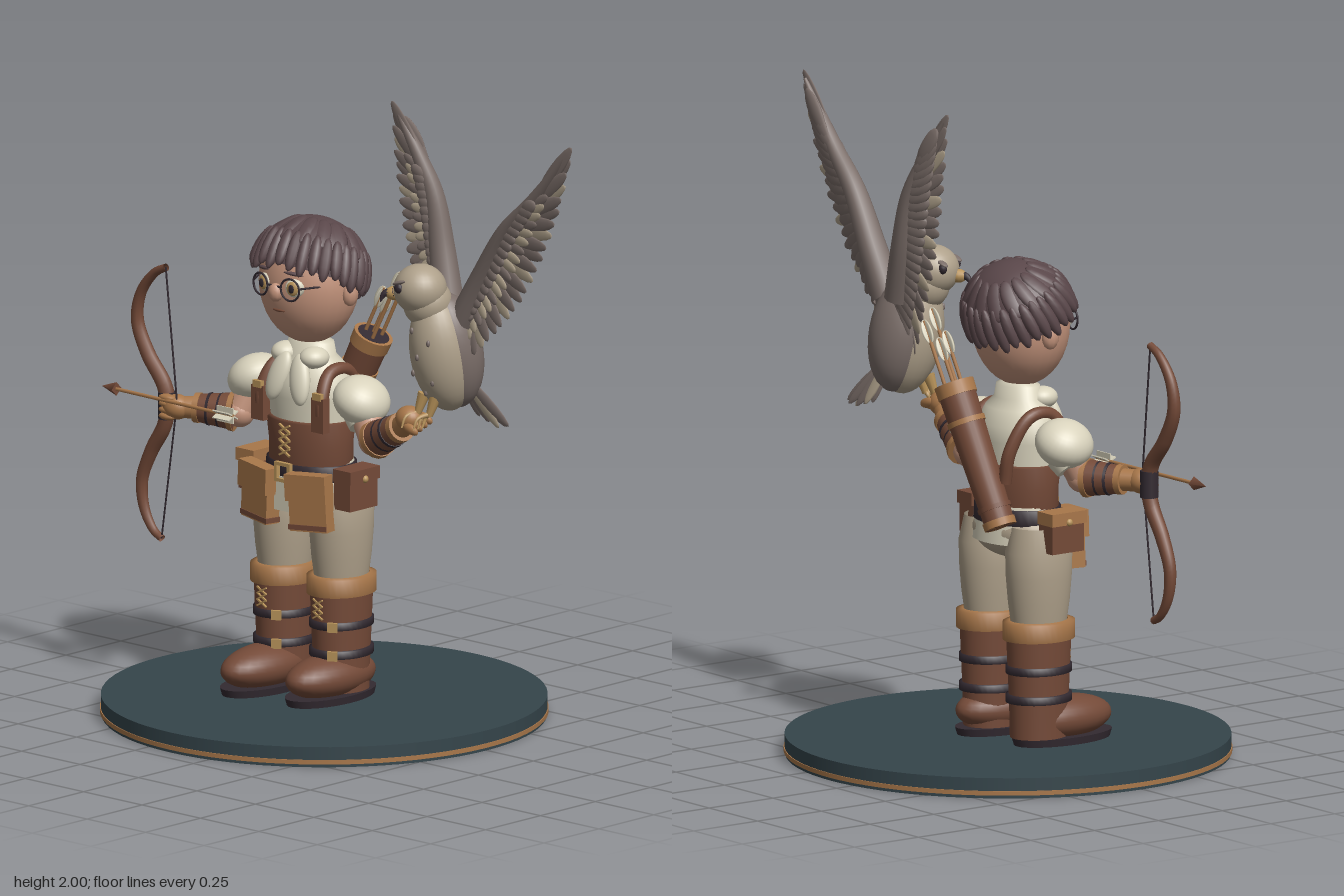
import * as THREE from 'three';

const V = (a) => new THREE.Vector3(...a);
const mat = (name, color) => Object.assign(new THREE.MeshStandardMaterial({ color, side: THREE.DoubleSide }), { name });

export function createModel() {
  const M = {
    cream: mat('cream linen', 0xd8d2bc), taupe: mat('pale taupe', 0xaea08a), skin: mat('skin', 0xc4947c),
    hair: mat('dark hair', 0x5a474a), leather: mat('brown leather', 0x744a38), tan: mat('tan leather', 0xa8774a),
    dark: mat('dark strap', 0x332a31), slate: mat('slate base', 0x35454b), plume: mat('grey plumage', 0x7b6e69),
    gold: mat('brass', 0xb8935a),
  };
  const root = new THREE.Group();
  let g = root;
  const part = (name) => { g = new THREE.Group(); g.name = name; root.add(g); };
  const add = (name, geo, m, p = [0, 0, 0], rot = [0, 0, 0], s = [1, 1, 1]) => {
    const o = new THREE.Mesh(geo, m);
    o.name = name; o.position.set(...p); o.rotation.set(...rot); o.scale.set(...s);
    g.add(o);
    return o;
  };
  const unit = new THREE.SphereGeometry(1, 28, 18), small = new THREE.SphereGeometry(1, 10, 8);
  const ball = (name, m, p, s, rot) => add(name, Math.max(...s) > 0.04 ? unit : small, m, p, rot, s);
  const box = (name, m, p, s, rot) => add(name, new THREE.BoxGeometry(...s), m, p, rot);
  // tapered rod between two points
  const rod = (name, m, a, b, r1, r2 = r1, n = 16) => {
    const A = V(a), d = V(b).sub(A);
    const o = add(name, new THREE.CylinderGeometry(r2, r1, d.length(), n), m);
    o.position.copy(A).addScaledVector(d, 0.5);
    o.quaternion.setFromUnitVectors(V([0, 1, 0]), d.normalize());
    return o;
  };
  // flat leaf shape from a to b, facing the given normal
  const leaf = (name, m, a, b, w, t, normal = [0, 0, 1]) => {
    const d = b.clone().sub(a), len = d.length();
    const y = d.normalize(), x = y.clone().cross(V(normal)).normalize(), z = x.clone().cross(y);
    const o = add(name, small, m, [0, 0, 0], [0, 0, 0], [w, len / 2, t]);
    o.position.copy(a).addScaledVector(y, len / 2);
    o.quaternion.setFromRotationMatrix(new THREE.Matrix4().makeBasis(x, y, z));
    return o;
  };
  // tube whose radius follows f(t)
  const tube = (name, m, pts, f, seg = 40, rad = 10) => {
    const c = new THREE.CatmullRomCurve3(pts.map(V)), geo = new THREE.TubeGeometry(c, seg, 1, rad);
    const P = geo.attributes.position, v = new THREE.Vector3();
    for (let i = 0; i < P.count; i++) {
      const t = Math.floor(i / (rad + 1)) / seg, o = c.getPointAt(t);
      v.fromBufferAttribute(P, i).sub(o).multiplyScalar(f(t)).add(o);
      P.setXYZ(i, v.x, v.y, v.z);
    }
    return add(name, geo, m);
  };
  const lathe = (name, m, prof, p, sz = 1) =>
    add(name, new THREE.LatheGeometry(prof.map((q) => new THREE.Vector2(...q)), 36), m, p, [0, 0, 0], [1, 1, sz]);
  const X = -0.21; // body centre line

  part('base');
  add('baseFoot', new THREE.CylinderGeometry(0.695, 0.695, 0.012, 80), M.slate, [-0.145, 0.006, 0]);
  add('baseTrim', new THREE.CylinderGeometry(0.7, 0.7, 0.014, 80), M.tan, [-0.145, 0.017, 0]);
  add('baseTop', new THREE.CylinderGeometry(0.697, 0.697, 0.043, 80), M.slate, [-0.145, 0.0435, 0]);

  for (const s of [-1, 1]) {
    part(s < 0 ? 'rightLeg' : 'leftLeg');
    const x = X + s * 0.12, zf = 0.05 - s * 0.02;
    add('sole', new THREE.CylinderGeometry(0.094, 0.09, 0.024, 32), M.dark, [x, 0.077, zf], [0, 0, 0], [1, 1, 1.95]);
    ball('bootFoot', M.leather, [x, 0.14, zf], [0.092, 0.07, 0.182]);
    lathe('bootShaft', M.leather, [[0.08, 0.09], [0.082, 0.2], [0.086, 0.3], [0.09, 0.41]], [x, 0, -0.02], 1.2);
    lathe('bootCuff', M.tan, [[0.088, 0.4], [0.1, 0.402], [0.1, 0.458], [0.08, 0.462]], [x, 0, -0.02], 1.2);
    for (const y of [0.215, 0.307]) {
      lathe('bootStrap', M.dark, [[0.08, y - 0.014], [0.092, y - 0.012], [0.092, y + 0.012], [0.08, y + 0.014]], [x, 0, -0.02], 1.2);
      box('bootBuckle', M.gold, [x + 0.05, y, 0.075], [0.032, 0.03, 0.012], [0, 0.5, 0]);
    }
    for (let i = 0; i < 3; i++) for (const k of [-1, 1])
      box('bootLace', M.gold, [x, 0.34 + i * 0.02, 0.088], [0.045, 0.005, 0.006], [0, 0, k * 0.5]);
    lathe('trouserLeg', M.taupe, [[0.078, 0.44], [0.088, 0.52], [0.094, 0.6], [0.096, 0.68], [0.08, 0.76]], [x, 0, -0.02], 1.15);
  }

  part('torso');
  ball('hips', M.taupe, [X, 0.73, -0.02], [0.175, 0.09, 0.115]);
  lathe('shirtHem', M.cream, [[0.165, 0.7], [0.158, 0.75], [0.145, 0.82]], [X, 0, -0.015], 0.76);
  box('shirtFlap', M.cream, [X, 0.715, 0.105], [0.085, 0.11, 0.02]);
  lathe('shirt', M.cream, [[0.135, 0.8], [0.14, 0.94], [0.152, 1.02], [0.148, 1.07], [0.12, 1.12], [0.088, 1.15], [0.08, 1.19], [0.05, 1.2]], [X, 0, -0.01], 0.76);
  lathe('corset', M.leather, [[0.135, 0.8], [0.147, 0.805], [0.146, 0.87], [0.155, 0.945], [0.14, 0.95]], [X, 0, -0.01], 0.78);
  lathe('belt', M.dark, [[0.14, 0.76], [0.16, 0.762], [0.157, 0.81], [0.14, 0.812]], [X, 0, -0.012], 0.78);
  for (const k of [-1, 1]) {
    box('buckleSide', M.gold, [X + k * 0.027, 0.786, 0.118], [0.012, 0.062, 0.014]);
    box('buckleBar', M.gold, [X, 0.786 + k * 0.026, 0.118], [0.06, 0.011, 0.014]);
    for (let i = 0; i < 4; i++)
      box('corsetLace', M.gold, [X, 0.85 + i * 0.025, 0.112], [0.05, 0.006, 0.007], [0, 0, k * 0.5]);
    // scarf lobes on the chest
    ball('scarfLobe', M.cream, [X + k * 0.045, 1.085, 0.09], [0.038, 0.082, 0.025], [-0.25, 0, k * 0.25]);
    ball('collarLobe', M.cream, [X + k * 0.06, 1.15, 0.04], [0.045, 0.035, 0.05]);
    // shoulder straps running to the back
    const d = k * 0.128;
    tube('shoulderStrap', M.leather, [[X + d, 0.93, 0.075], [X + d, 1.03, 0.078], [X + d * 0.9, 1.105, 0.03], [X + d * 0.9, 1.105, -0.05], [X + d * 0.75, 1, -0.115], [X + d * 0.6, 0.9, -0.12]], () => 0.021);
    box('strapTab', M.leather, [X + d, 0.985, 0.085], [0.052, 0.11, 0.03]);
    box('strapBuckle', M.gold, [X + d, 1.045, 0.096], [0.036, 0.022, 0.014]);
    // pouches
    box('frontPouch', M.tan, [X + k * 0.108, 0.7, 0.105], [0.135, 0.17, 0.05], [0, k * 0.2, k * 0.06]);
    box('frontPouchFlap', M.tan, [X + k * 0.108, 0.755, 0.117], [0.148, 0.085, 0.05], [0, k * 0.2, k * 0.06]);
    box('frontPouchBand', M.leather, [X + k * 0.11, 0.628, 0.106], [0.14, 0.016, 0.053], [0, k * 0.2, k * 0.06]);
    box('sidePouch', M.leather, [X + k * 0.205, 0.745, 0.005], [0.068, 0.115, 0.125]);
    box('sidePouchFlap', k < 0 ? M.tan : M.leather, [X + k * 0.208, 0.797, 0.005], [0.076, 0.04, 0.135]);
    ball('pouchStud', M.gold, [X + k * 0.245, 0.785, 0.005], [0.01, 0.012, 0.012]);
  }

  part('head');
  const H = [X, 1.38, 0];
  ball('face', M.skin, H, [0.165, 0.195, 0.148]);
  ball('nose', M.skin, [X, 1.37, 0.152], [0.025, 0.03, 0.022]);
  ball('mouth', M.leather, [X, 1.31, 0.137], [0.026, 0.005, 0.006]);
  for (const k of [-1, 1]) {
    const ex = X + k * 0.063;
    ball('ear', M.skin, [X + k * 0.167, 1.365, -0.01], [0.022, 0.04, 0.03]);
    ball('eyeWhite', M.cream, [ex, 1.39, 0.132], [0.033, 0.03, 0.014], [0, k * 0.35, 0]);
    ball('iris', M.gold, [ex, 1.39, 0.142], [0.021, 0.023, 0.008], [0, k * 0.3, 0]);
    ball('pupil', M.dark, [ex, 1.39, 0.149], [0.012, 0.014, 0.004]);
    add('spectacleRing', new THREE.TorusGeometry(0.035, 0.0035, 6, 32), M.dark, [ex, 1.388, 0.154], [0, k * 0.15, 0]);
    rod('spectacleArm', M.dark, [X + k * 0.097, 1.395, 0.148], [X + k * 0.172, 1.4, 0], 0.0035, 0.0035, 6);
    ball('eyebrow', M.hair, [ex, 1.437, 0.138], [0.034, 0.006, 0.008], [0, k * 0.35, -k * 0.1]);
  }
  rod('spectacleBridge', M.dark, [X - 0.028, 1.392, 0.157], [X + 0.028, 1.392, 0.157], 0.0035, 0.0035, 6);

  part('hair');
  const cr = [0.188, 0.165, 0.162], tilt = -0.42;
  add('hairCap', new THREE.SphereGeometry(1, 36, 20, 0, Math.PI * 2, 0, 1.72), M.hair, [X, 1.422, -0.008], [tilt, 0, 0], cr);
  const onCap = (a, th, k) => V([Math.sin(a) * Math.sin(th) * cr[0] * k, Math.cos(th) * cr[1] * k, Math.cos(a) * Math.sin(th) * cr[2] * k])
    .applyEuler(new THREE.Euler(tilt, 0, 0)).add(V([X, 1.422, -0.008]));
  for (let i = 0; i < 30; i++) {
    const a = (i / 30) * Math.PI * 2, j = ((i * 7) % 5) * 0.03;
    const n = [Math.sin(a), 0.3, Math.cos(a)];
    leaf('hairLock', M.hair, onCap(a, 1.0, 1.03), onCap(a + 0.08, 1.76 + j, 1.07), 0.021, 0.02, n);
    if (i % 2) leaf('crownLock', M.hair, onCap(a, 0.45, 1), onCap(a + 0.1, 1.25, 1.02), 0.032, 0.016, [n[0], 1, n[2]]);
  }

  // arm with puffed sleeve, bracer and gloved fist
  const arm = (name, sleeve, elbow, cuff, hand) => {
    part(name);
    const k = Math.sign(sleeve[0] - X);
    ball('puffSleeve', M.cream, sleeve, [0.09, 0.072, 0.095], [0, 0, -k * 0.5]);
    rod('sleeveBand', M.cream, [sleeve[0], sleeve[1] - 0.04, sleeve[2]], [sleeve[0] + k * 0.025, sleeve[1] - 0.075, sleeve[2] + 0.01], 0.06, 0.052);
    rod('upperArm', M.skin, sleeve, elbow, 0.05, 0.046);
    ball('elbow', M.skin, elbow, [0.048, 0.048, 0.048]);
    const A = V(elbow), B = V(cuff), at = (t) => A.clone().lerp(B, t).toArray();
    rod('bracer', M.leather, at(0.1), at(1), 0.06, 0.043);
    rod('bracerTopBand', M.tan, at(0.1), at(0.22), 0.063, 0.061);
    rod('bracerWristBand', M.tan, at(0.9), at(1.03), 0.048, 0.047);
    for (const t of [0.42, 0.66]) rod('bracerStrap', M.dark, at(t), at(t + 0.06), 0.058 - t * 0.008, 0.056 - t * 0.008);
    rod('gloveWrist', M.tan, cuff, hand, 0.036, 0.034);
    ball('glove', M.tan, hand, [0.046, 0.04, 0.042]);
  };
  arm('rightArm', [-0.435, 1.035, 0], [-0.46, 0.925, 0.05], [-0.585, 0.93, 0.115], [-0.635, 0.93, 0.15]);
  for (let i = 0; i < 4; i++) ball('finger', M.tan, [-0.655, 0.9 + i * 0.02, 0.172], [0.034, 0.012, 0.018]);
  arm('leftArm', [0.015, 1.035, 0], [0.085, 0.92, 0.02], [0.235, 0.995, 0.055], [0.285, 1.035, 0.07]);
  for (let i = 0; i < 4; i++) ball('finger', M.tan, [0.318, 1.035 - i * 0.008, 0.035 + i * 0.022], [0.034, 0.016, 0.012], [0, 0, -0.3]);

  part('bow');
  const bz = 0.148;
  tube('bowStave', M.leather, [[-0.682, 1.37, bz], [-0.73, 1.345, bz], [-0.79, 1.27, bz], [-0.805, 1.18, bz], [-0.76, 1.08, bz], [-0.69, 0.99, bz], [-0.675, 0.925, bz],
    [-0.69, 0.86, bz], [-0.745, 0.77, bz], [-0.785, 0.67, bz], [-0.775, 0.58, bz], [-0.735, 0.515, bz], [-0.7, 0.495, bz]], (t) => 0.012 + 0.013 * Math.sin(Math.PI * t), 70);
  rod('bowGrip', M.dark, [-0.678, 0.885, bz], [-0.678, 0.97, bz], 0.029);
  rod('upperString', M.dark, [-0.684, 1.37, bz], [-0.615, 0.95, 0.17], 0.003, 0.003, 6);
  rod('lowerString', M.dark, [-0.615, 0.95, 0.17], [-0.702, 0.495, bz], 0.003, 0.003, 6);

  part('arrow');
  rod('arrowShaft', M.tan, [-0.87, 0.955, 0.185], [-0.36, 0.952, 0.185], 0.006, 0.006, 8);
  rod('arrowHead', M.leather, [-0.86, 0.955, 0.185], [-0.92, 0.955, 0.185], 0.022, 0.001, 4);
  for (let i = 0; i < 3; i++)
    box('fletching', M.cream, [-0.395, 0.952, 0.185], [0.07, 0.05, 0.004], [i * Math.PI / 3, 0, 0]);

  part('quiver');
  const qa = V([-0.305, 0.765, -0.15]), qb = V([-0.105, 1.19, -0.18]);
  const q = (t, dx = 0, dz = 0) => qa.clone().lerp(qb, t).add(V([dx, 0, dz])).toArray();
  rod('quiverBody', M.leather, q(0), q(0.98), 0.048, 0.06, 24);
  for (const [t, w] of [[0, 0.05], [0.12, 0.03], [0.72, 0.035], [0.92, 0.09]])
    rod('quiverBand', t === 0.12 ? M.leather : M.tan, q(t), q(t + w), 0.052 + t * 0.012, 0.053 + t * 0.012, 24);
  rod('quiverMouth', M.dark, q(1), q(1.012), 0.052, 0.052, 24);
  [[-0.03, 0.01, 1.38], [0.012, -0.028, 1.45], [0.02, 0.022, 1.52], [-0.012, -0.01, 1.33]].forEach(([dx, dz, t]) => {
    rod('spareArrow', M.tan, q(0.9, dx, dz), q(t, dx, dz), 0.006, 0.006, 8);
    for (const n of [[0, 0, 1], [1, 0, 0]])
      leaf('spareFletching', M.cream, V(q(t - 0.16, dx, dz)), V(q(t + 0.01, dx, dz)), 0.021, 0.003, n);
  });

  part('hawkBody');
  ball('breast', M.taupe, [0.368, 1.25, 0.005], [0.1, 0.19, 0.108], [0.15, 0, 0.08]);
  ball('back', M.plume, [0.378, 1.255, -0.022], [0.101, 0.188, 0.1], [0.15, 0, 0.08]);
  ball('neck', M.taupe, [0.335, 1.41, 0.04], [0.078, 0.08, 0.078]);
  ball('hawkHead', M.taupe, [0.322, 1.455, 0.06], [0.084, 0.08, 0.084]);
  ball('beakBase', M.gold, [0.258, 1.44, 0.11], [0.03, 0.022, 0.022], [0, 0.6, 0]);
  tube('beak', M.dark, [[0.26, 1.442, 0.11], [0.232, 1.436, 0.128], [0.222, 1.41, 0.135]], (t) => 0.019 * (1 - t) + 0.002, 10);
  for (const p of [[0.305, 1.468, 0.139], [0.246, 1.472, 0.04]]) {
    ball('hawkEye', M.dark, p, [0.017, 0.017, 0.013]);
    ball('hawkBrow', M.plume, [p[0], p[1] + 0.018, p[2]], [0.027, 0.006, 0.012], [0, 0, 0.3]);
  }
  for (const [x, y, z] of [[0.33, 1.33, 0.107], [0.4, 1.3, 0.107], [0.36, 1.25, 0.115], [0.32, 1.19, 0.09], [0.4, 1.17, 0.088], [0.36, 1.13, 0.075]])
    ball('breastSpot', M.plume, [x, y, z], [0.007, 0.011, 0.006]);
  for (const x of [0.315, 0.365]) {
    rod('hawkLeg', M.gold, [x + 0.015, 1.12, 0.05], [x, 1.055, 0.065], 0.02, 0.011, 10);
    for (const dz of [-0.02, 0, 0.02])
      tube('talon', M.gold, [[x, 1.06, 0.065], [x - 0.012, 1.05, 0.085 + dz], [x - 0.016, 1.015, 0.1 + dz]], (t) => 0.009 - 0.006 * t, 8, 6);
  }
  for (let i = 0; i < 7; i++)
    leaf('tailFeather', i % 3 === 1 ? M.taupe : M.plume, V([0.39, 1.17, -0.06]), V([0.425 + i * 0.021, 1.01 + Math.abs(i - 4) * 0.006, -0.1 - (i % 2) * 0.012]), 0.02, 0.006);

  // wing: leading-edge arm with layered flight feathers and coverts
  const wing = (name, lead, trail) => {
    part(name);
    tube('wingArm', M.plume, lead, (t) => 0.046 * (1 - t) ** 0.7 + 0.006, 30, 12);
    const L = new THREE.CatmullRomCurve3(lead.map(V)), T = new THREE.CatmullRomCurve3(trail.map(V));
    const n = 22;
    for (let i = 0; i < n; i++) {
      const t = i / (n - 1), a = L.getPointAt(t * 0.74), b = T.getPointAt(t), dz = V([0, 0, (i % 2) * 0.006]);
      const at = (u, z) => a.clone().lerp(b, u).add(V([0, 0, z]));
      leaf('flightFeather', i % 4 === 2 ? M.taupe : M.plume, a.clone().add(dz), b.clone().add(dz), 0.024, 0.006);
      leaf('backCovert', M.plume, at(-0.02, -0.018), at(0.72, -0.012), 0.03, 0.012);
      if (i < n - 3) {
        leaf('frontCovert', i % 3 ? M.taupe : M.plume, at(0.12, 0.014), at(0.62, 0.016), 0.017, 0.006);
        leaf('shoulderCovert', M.plume, at(0, 0.022), at(0.34, 0.024), 0.022, 0.009);
      }
    }
  };
  wing('leftWing', [[0.43, 1.36, -0.03], [0.51, 1.5, -0.03], [0.62, 1.67, -0.02], [0.74, 1.79, -0.01], [0.9, 1.975, 0]],
    [[0.455, 1.23, -0.02], [0.6, 1.355, 0], [0.71, 1.47, 0.01], [0.8, 1.62, 0.01], [0.865, 1.78, 0.005], [0.92, 2, 0]]);
  wing('rightWing', [[0.33, 1.38, -0.06], [0.285, 1.55, -0.08], [0.245, 1.72, -0.085], [0.195, 1.83, -0.075], [0.11, 1.975, -0.06]],
    [[0.285, 1.2, -0.04], [0.235, 1.33, -0.045], [0.185, 1.46, -0.05], [0.145, 1.6, -0.055], [0.108, 1.8, -0.06], [0.092, 2, -0.06]]);
  return root;
}
